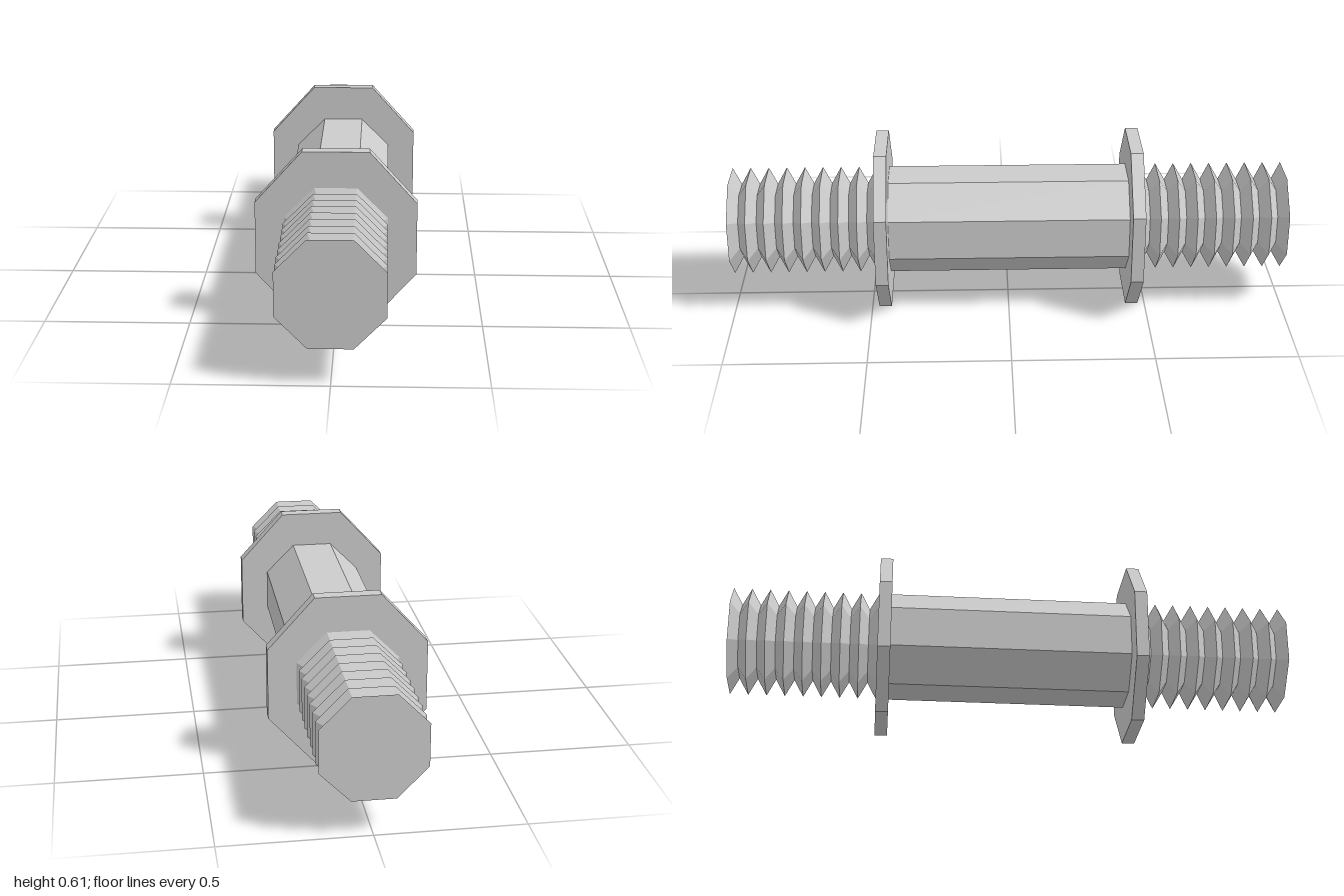
import * as THREE from 'three';

const SIDES = 8;
const CENTRE_Y = 0.303;

const material = new THREE.MeshStandardMaterial({ color: 0xcccccc, flatShading: true });

// Octagonal solid along z from [z, half width] pairs, closed at both ends;
// stretch is the ratio of its height to its width.
function octagonalSolid(name, profile, stretch) {
  const corner = 1 / Math.cos(Math.PI / SIDES);
  const points = profile.map(([z, halfWidth]) => new THREE.Vector2(halfWidth * corner, z));
  points.unshift(new THREE.Vector2(0, profile[0][0]));
  points.push(new THREE.Vector2(0, profile[profile.length - 1][0]));
  const geometry = new THREE.LatheGeometry(points, SIDES, Math.PI / SIDES);
  geometry.rotateX(Math.PI / 2);
  geometry.scale(1, stretch, 1);
  const mesh = new THREE.Mesh(geometry, material);
  mesh.name = name;
  return mesh;
}

// Threaded stud: ridges alternate with grooves, with a ridge at each end
function threadProfile(start, end, turns, ridge, groove) {
  const profile = [];
  for (let i = 0; i <= turns * 2; i++) {
    const z = start + ((end - start) * i) / (turns * 2);
    profile.push([z, i % 2 === 0 ? ridge : groove]);
  }
  return profile;
}

export function createModel() {
  const model = new THREE.Group();
  model.name = 'threadedSpacer';

  // Plain middle bar
  model.add(octagonalSolid('shaft', [[-0.43, 0.175], [0.43, 0.175]], 1.017));

  // Matching flange and threaded stud at each end
  for (const [side, angle] of [['front', 0], ['back', Math.PI]]) {
    const end = new THREE.Group();
    end.name = side + 'End';
    end.rotation.y = angle;
    end.add(octagonalSolid(side + 'Flange', [[0.43, 0.273], [0.475, 0.273]], 1.11));
    end.add(octagonalSolid(side + 'Thread', threadProfile(0.475, 1, 8, 0.175, 0.122), 1.017));
    model.add(end);
  }

  model.position.y = CENTRE_Y;
  const root = new THREE.Group();
  root.add(model);
  return root;
}
